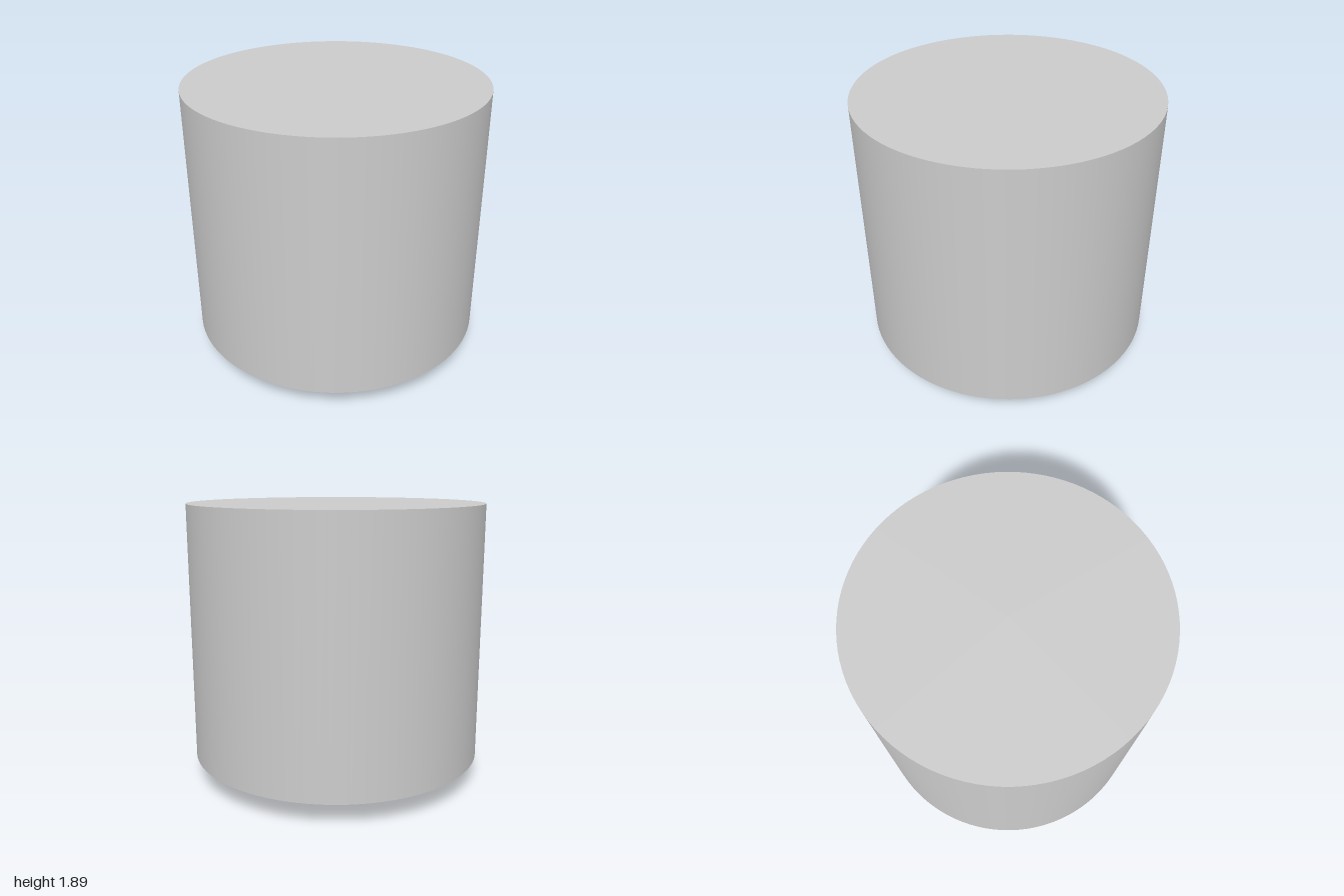
import * as THREE from 'three';

const material = new THREE.MeshStandardMaterial({ color: 0xcccccc });

// Upright solid cylinder spanning two heights
function addCylinder(group, name, radius, bottom, top) {
  const geometry = new THREE.CylinderGeometry(radius, radius, top - bottom, 96);
  const mesh = new THREE.Mesh(geometry, material);
  mesh.name = name;
  mesh.position.y = (bottom + top) / 2;
  group.add(mesh);
}

export function createModel() {
  const group = new THREE.Group();
  group.name = 'cylinderWithPeg';

  // Narrow peg under the wide drum
  addCylinder(group, 'peg', 0.375, 0, 0.158);
  addCylinder(group, 'drum', 1, 0.158, 1.893);

  return group;
}
